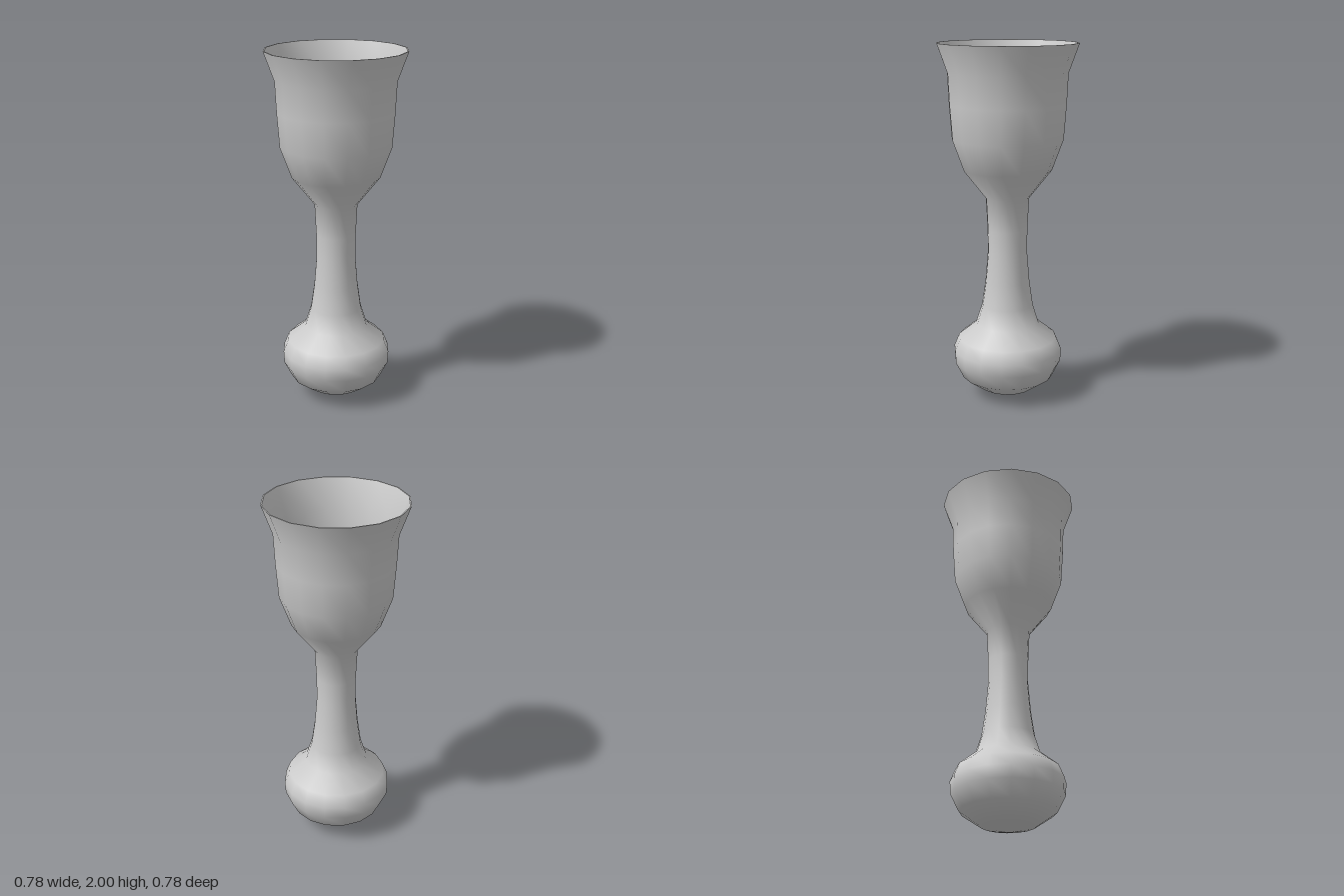
import * as THREE from 'three';

const material = new THREE.MeshStandardMaterial({ color: 0xcccccc });

// Turned part: profile of [radius, height] pairs, smooth shaded
function turned(name, profile, sides = 16, start = 0) {
  const points = profile.map(([r, y]) => new THREE.Vector2(r, y));
  const mesh = new THREE.Mesh(new THREE.LatheGeometry(points, sides, start), material);
  mesh.name = name;
  return mesh;
}

export function createModel() {
  const goblet = new THREE.Group();
  goblet.name = 'goblet';

  // Rounded base bulb
  const bulb = [[0, 0], [0.15, 0.035], [0.26, 0.11], [0.305, 0.2], [0.309, 0.27], [0.28, 0.34], [0.18, 0.42]];
  // Slim waisted stem
  const stem = [[0.145, 0.53], [0.125, 0.67], [0.111, 0.84], [0.112, 0.97], [0.121, 1.15]];
  // Cup outside with flared lip
  const cup = [[0.247, 1.31], [0.309, 1.48], [0.323, 1.67], [0.331, 1.84], [0.389, 2]];
  goblet.add(turned('outerBody', [...bulb, ...stem, ...cup]));

  // Thin lip and cup lining
  goblet.add(turned('rim', [[0.389, 2], [0.382, 2]]));
  goblet.add(turned('cupLining', [
    [0.382, 2], [0.324, 1.84], [0.315, 1.67], [0.3, 1.48], [0.27, 1.4], [0.255, 1.365], [0.234, 1.365],
  ]));

  // Eight-sided hollow floor of the cup
  goblet.add(turned('cupFloor', [[0.253, 1.37], [0.19, 1.32], [0.1, 1.285], [0, 1.275]], 8, Math.PI / 8));

  return goblet;
}
